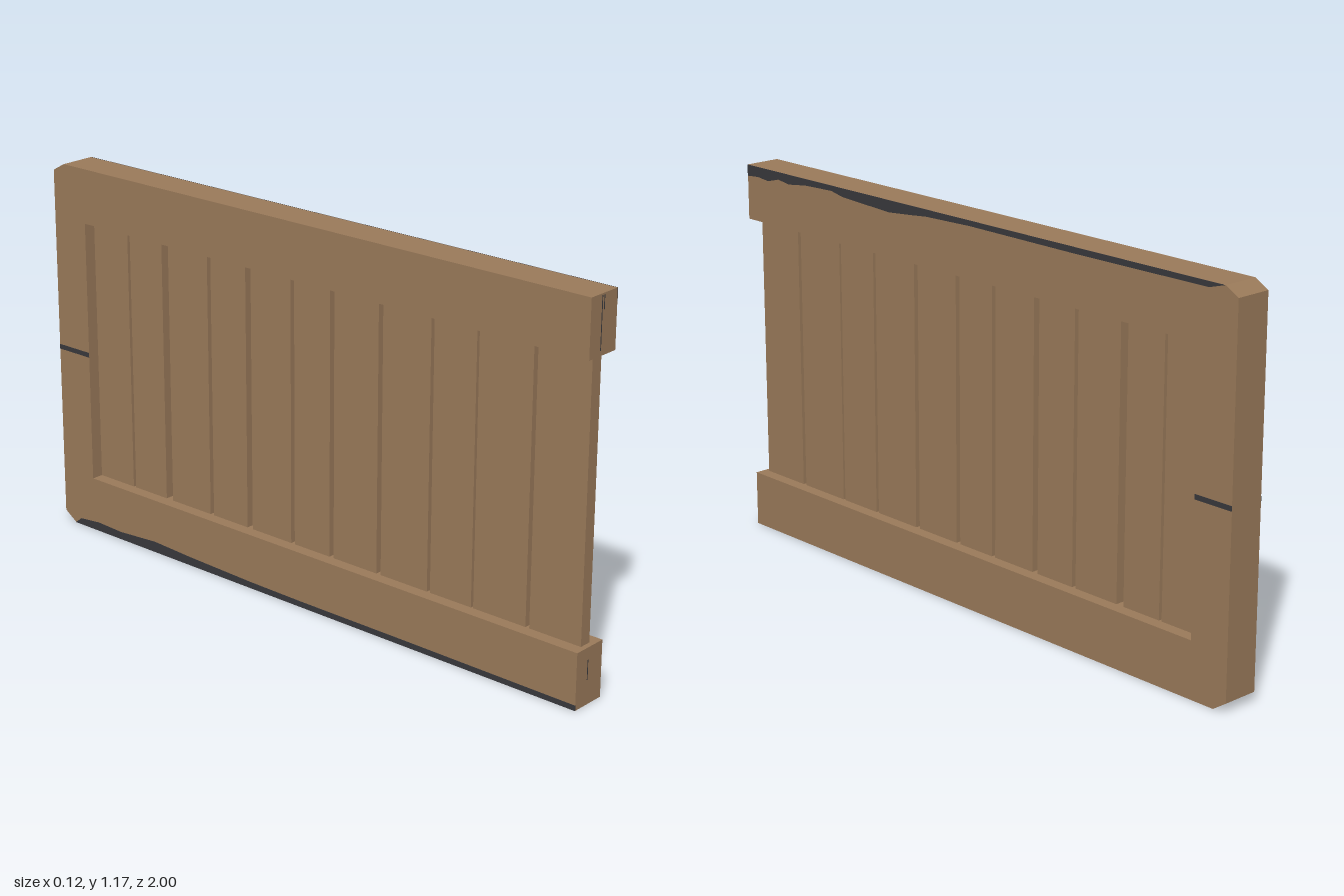
import * as THREE from 'three';

const HALF = 0.057;      // half thickness of the frame
const SLAT_HALF = 0.019; // half thickness of the slats
const LOW = 0.172, HIGH = 1.0, TOP = 1.17, POST = -0.87;

// Extrudes a side profile of [z, y] points across x, centred on cx.
function sideExtrude(points, width, cx = 0) {
  const shape = new THREE.Shape(points.map(([z, y]) => new THREE.Vector2(-z, y)));
  const geo = new THREE.ExtrudeGeometry(shape, { depth: width, bevelEnabled: false });
  geo.translate(0, 0, cx - width / 2);
  geo.rotateY(Math.PI / 2);
  return geo;
}

export function createModel() {
  const group = new THREE.Group();
  const wood = new THREE.MeshStandardMaterial({ color: 0x997959 });
  wood.name = 'brown wood';
  const dark = new THREE.MeshStandardMaterial({ color: 0x38383c });
  dark.name = 'dark weathering';

  const add = (name, geo, material) => {
    const mesh = new THREE.Mesh(geo, material);
    mesh.name = name;
    group.add(mesh);
    return mesh;
  };

  // C-shaped frame: two rails and a post with clipped outer corners, open at the front
  add('frame', sideExtrude([
    [1, 0], [1, LOW], [POST, LOW], [POST, HIGH], [1, HIGH], [1, TOP],
    [-0.955, TOP], [-1, 1.145], [-1, 0.03], [-0.955, 0],
  ], HALF * 2), wood);

  // Upright slats of uneven width, as [front z, back z]
  const slats = [
    [0.984, 0.81], [0.797, 0.615], [0.607, 0.46], [0.449, 0.278],
    [0.262, 0.099], [0.083, -0.053], [-0.067, -0.222], [-0.243, -0.382],
    [-0.396, -0.556], [-0.583, -0.717], [-0.727, POST],
  ];
  for (const [front, back] of slats) {
    const slat = add('slat', new THREE.BoxGeometry(SLAT_HALF * 2, HIGH - LOW, front - back), wood);
    slat.position.set(0, (HIGH + LOW) / 2, (front + back) / 2);
  }

  // Ragged dark edge along the top of the +x side
  const PLATE = 0.002;
  add('topEdgeStain', sideExtrude([
    [-0.955, TOP], [1, TOP], [1, 1.135], [0.95, 1.139], [0.9, 1.134], [0.85, 1.147],
    [0.8, 1.14], [0.72, 1.15], [0.6, 1.154], [0.55, 1.144], [0.45, 1.139], [0.34, 1.134],
    [0.25, 1.142], [0.18, 1.149], [0, 1.154], [-0.4, 1.152], [-0.9, 1.154],
  ], PLATE, HALF), dark);

  // Ragged dark edge along the bottom of the -x side
  add('bottomEdgeStain', sideExtrude([
    [1, 0], [-0.955, 0], [-0.93, 0.02], [-0.85, 0.028], [-0.75, 0.024], [-0.6, 0.034],
    [-0.45, 0.027], [-0.2, 0.02], [0, 0.018], [0.4, 0.018], [1, 0.016],
  ], PLATE, -HALF), dark);

  // Dark seam across the post on both sides
  for (const side of [-1, 1]) {
    const seam = add('postSeam', new THREE.BoxGeometry(PLATE, 0.015, 1 + POST), dark);
    seam.position.set(side * HALF, 0.58, (POST - 1) / 2);
  }

  // Hairline cracks in the front ends of the rails, as [x, low y, high y]
  for (const [x, low, high] of [[-0.009, 1.015, 1.165], [0, 1.125, 1.165], [-0.007, 0.075, 0.135]]) {
    const crack = add('endCrack', new THREE.BoxGeometry(0.003, high - low, PLATE), dark);
    crack.position.set(x, (low + high) / 2, 0.9995);
  }

  return group;
}
